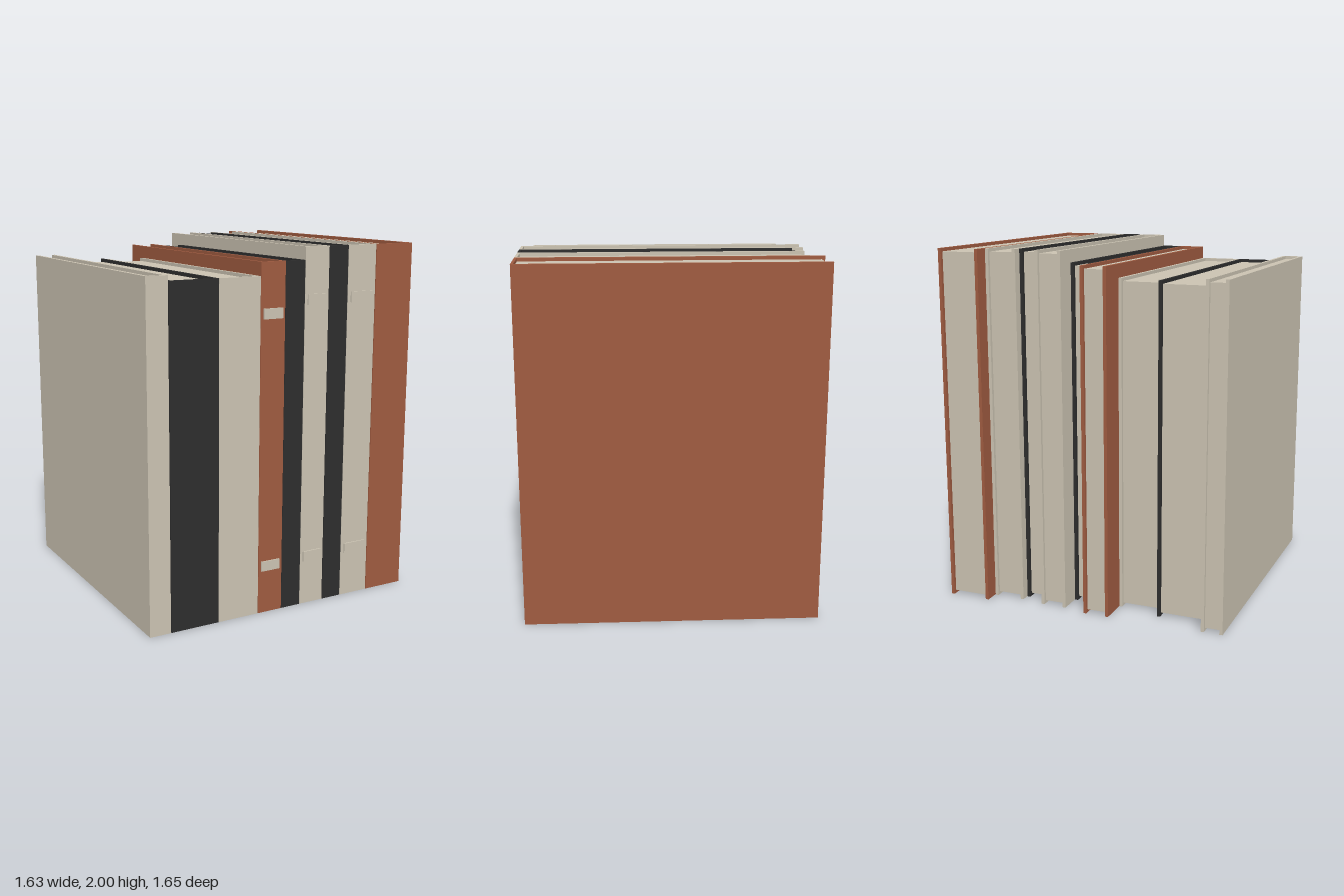
import * as THREE from 'three';

const cream = new THREE.MeshStandardMaterial({ name: 'cream paper', color: 0xcac2b1 });
const rust = new THREE.MeshStandardMaterial({ name: 'rust cloth', color: 0x9f5b40 });
const charcoal = new THREE.MeshStandardMaterial({ name: 'charcoal cloth', color: 0x2d2d2d });

const SPINE_Z = 0.813; // shared front plane of all spines
const BOARD = 0.018;   // cover thickness
const INSET = 0.018;   // page block set back from the cover edges

// left x, right x, height, back z, cover, has spine bands
const BOOKS = [
  [-0.82, -0.698, 1.885, -0.78, cream, false],
  [-0.695, -0.411, 1.857, -0.682, charcoal, false],
  [-0.41, -0.165, 1.857, -0.632, cream, false],
  [-0.163, -0.014, 1.93, -0.793, rust, true],
  [-0.013, 0.108, 1.93, -0.64, charcoal, false],
  [0.11, 0.26, 2, -0.765, cream, true],
  [0.263, 0.384, 2, -0.7, charcoal, false],
  [0.386, 0.568, 2, -0.747, cream, true],
  [0.572, 0.815, 2, -0.825, rust, false],
];

// box spanning two corners
function block(name, material, x0, x1, y0, y1, z0, z1) {
  const mesh = new THREE.Mesh(new THREE.BoxGeometry(x1 - x0, y1 - y0, z1 - z0), material);
  mesh.position.set((x0 + x1) / 2, (y0 + y1) / 2, (z0 + z1) / 2);
  mesh.name = name;
  return mesh;
}

function makeBook([x0, x1, height, back, cover, banded]) {
  const book = new THREE.Group();
  const inner = SPINE_Z - 0.015;

  // two boards joined by the spine
  book.add(block('rightCover', cover, x0, x0 + BOARD, 0, height, back, inner));
  book.add(block('leftCover', cover, x1 - BOARD, x1, 0, height, back, inner));
  book.add(block('spine', cover, x0, x1, 0, height, inner, SPINE_Z));

  // page block, recessed at the top, bottom and back
  book.add(block('pages', cream, x0 + BOARD, x1 - BOARD, INSET, height - INSET, back + INSET, inner));

  // raised bands near the top and bottom of the spine
  if (banded) {
    const margin = (x1 - x0) * 0.11;
    for (const at of [0.14, 0.86]) {
      const y = height * at, half = height * 0.0145;
      book.add(block('spineBand', cream, x0 + margin, x1 - margin, y - half, y + half, SPINE_Z, SPINE_Z + 0.008));
    }
  }
  return book;
}

export function createModel() {
  const row = new THREE.Group();
  row.name = 'bookRow';
  BOOKS.forEach((spec, i) => {
    const book = makeBook(spec);
    book.name = `book${i + 1}`;
    row.add(book);
  });
  return row;
}
